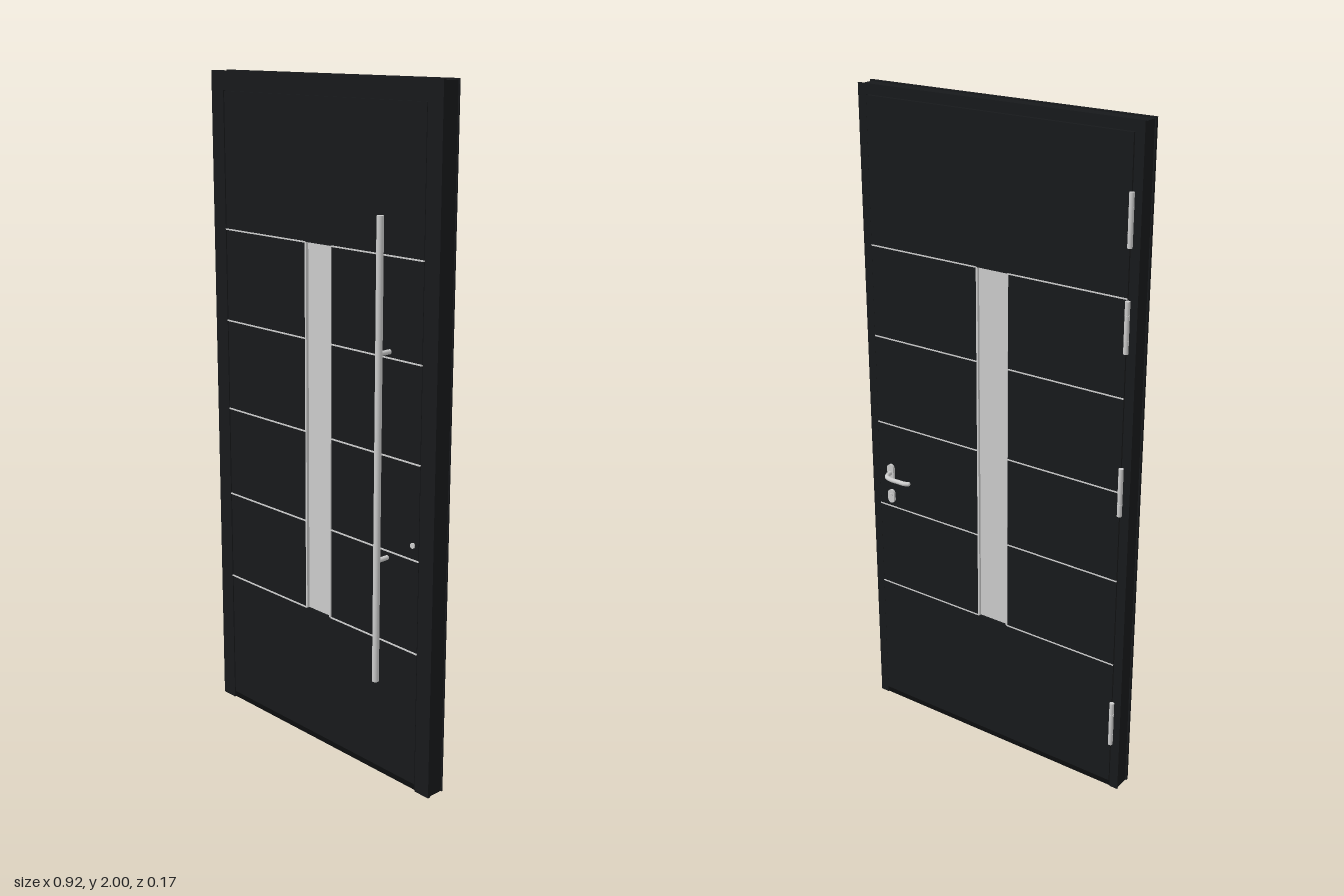
import * as THREE from 'three';

const dark = new THREE.MeshStandardMaterial({ color: 0x17191b });
const black = new THREE.MeshStandardMaterial({ color: 0x0c0d0e });
const grey = new THREE.MeshStandardMaterial({ color: 0xcccccc });

export function createModel() {
  const door = new THREE.Group();
  door.name = 'frontDoor';

  const add = (name, geometry, material, x = 0, y = 0, z = 0, parent = door) => {
    const mesh = new THREE.Mesh(geometry, material);
    mesh.name = name;
    mesh.position.set(x, y, z);
    parent.add(mesh);
    return mesh;
  };
  const box = (name, mat, x0, x1, y0, y1, z0, z1, parent) =>
    add(name, new THREE.BoxGeometry(x1 - x0, y1 - y0, z1 - z0), mat,
      (x0 + x1) / 2, (y0 + y1) / 2, (z0 + z1) / 2, parent);
  const rod = (name, r, length, x, y, z, alongZ, parent) => {
    const mesh = add(name, new THREE.CylinderGeometry(r, r, length, 24), grey, x, y, z, parent);
    if (alongZ) mesh.rotation.x = Math.PI / 2;
    return mesh;
  };
  const extrude = (shape, depth) =>
    new THREE.ExtrudeGeometry(shape, { depth, bevelEnabled: false, curveSegments: 16 });
  const outline = (pts) => pts.map(([x, y]) => new THREE.Vector2(x, y));

  // Frame: U-shaped layers, open at the bottom, with flanges front and back
  const frameLayer = (name, outer, top, inner, innerTop, z0, z1) => {
    const shape = new THREE.Shape(outline([
      [-outer, 0], [-inner, 0], [-inner, innerTop], [inner, innerTop],
      [inner, 0], [outer, 0], [outer, top], [-outer, top]]));
    add(name, extrude(shape, z1 - z0), dark, 0, 0, z0);
  };
  frameLayer('frameFrontFlange', 0.46, 2, 0.407, 1.945, 0.022, 0.03);
  frameLayer('frameCore', 0.456, 1.996, 0.432, 1.97, -0.028, 0.022);
  frameLayer('frameBackFlange', 0.46, 2, 0.432, 1.97, -0.031, -0.028);
  box('threshold', black, -0.432, 0.432, 0, 0.018, -0.028, 0.024);

  // Leaf: rebated slab in two layers, pierced by the window
  const winX = 0.053, winY0 = 0.43, winY1 = 1.54;
  const leafLayer = (name, half, top, z0, z1) => {
    const shape = new THREE.Shape(outline([[-half, 0.021], [half, 0.021], [half, top], [-half, top]]));
    shape.holes.push(new THREE.Path(outline([
      [-winX, winY0], [-winX, winY1], [winX, winY1], [winX, winY0]])));
    add(name, extrude(shape, z1 - z0), dark, 0, 0, z0);
  };
  leafLayer('leafFront', 0.404, 1.942, 0.021, 0.029);
  leafLayer('leafBack', 0.43, 1.968, -0.033, 0.021);

  // Window pane and its side trims
  box('windowPane', grey, -winX, winX, winY0, winY1, -0.027, 0.023);
  for (const s of [-1, 1]) {
    const x = s * 0.0515;
    box('windowTrim', grey, x - 0.003, x + 0.003, winY0, winY1, -0.0345, 0.032);
  }

  // Horizontal inlay strips on both faces, interrupted by the window
  for (let i = 0; i < 5; i++) {
    const y = winY0 + (i * (winY1 - winY0)) / 4;
    for (const s of [-1, 1]) {
      const strip = (name, end, z0, z1) => box(name, grey,
        Math.min(s * winX, s * end), Math.max(s * winX, s * end), y - 0.002, y + 0.002, z0, z1);
      strip('frontInlay', 0.405, 0.026, 0.032);
      strip('backInlay', 0.43, -0.0345, -0.03);
    }
  }

  // Long bar handle on the front
  const bar = new THREE.Group();
  bar.name = 'barHandle';
  door.add(bar);
  rod('bar', 0.01, 1.33, 0.284, 0.985, 0.071, false, bar);
  for (const y of [1.28, 0.687]) rod('barStandoff', 0.007, 0.044, 0.284, y, 0.049, true, bar);
  rod('frontLock', 0.008, 0.008, 0.383, 0.75, 0.03, true);

  // Lever handle on the back, with rose and lock plate
  const lever = new THREE.Group();
  lever.name = 'leverHandle';
  door.add(lever);
  const plate = (name, y, halfHeight, r) => {
    const shape = new THREE.Shape();
    shape.absarc(0, halfHeight - r, r, 0, Math.PI);
    shape.absarc(0, r - halfHeight, r, Math.PI, Math.PI * 2);
    shape.closePath();
    add(name, extrude(shape, 0.008), grey, 0.383, y, -0.041, lever);
  };
  plate('leverRose', 0.825, 0.028, 0.012);
  plate('lockPlate', 0.745, 0.022, 0.012);
  rod('lockCylinder', 0.006, 0.004, 0.383, 0.75, -0.042, true, lever);
  const path = new THREE.CatmullRomCurve3([
    [0.383, -0.036], [0.381, -0.054], [0.371, -0.07], [0.352, -0.077], [0.32, -0.077], [0.298, -0.076], [0.288, -0.071],
  ].map(([x, z]) => new THREE.Vector3(x, 0.825, z)));
  add('leverGrip', new THREE.TubeGeometry(path, 40, 0.007, 16), grey, 0, 0, 0, lever);
  add('leverTip', new THREE.SphereGeometry(0.007, 16, 12), grey, 0.288, 0.825, -0.071, lever);

  // Hinges on the back, each a pin barrel in three knuckles
  for (const y of [1.75, 1.465, 0.99, 0.232]) {
    const hinge = new THREE.Group();
    hinge.name = 'hinge';
    hinge.position.set(-0.435, y, -0.04);
    door.add(hinge);
    rod('hingePin', 0.006, 0.144, 0, 0, 0, false, hinge);
    for (const [k, h] of [[-0.054, 0.036], [0, 0.068], [0.054, 0.036]])
      rod('hingeKnuckle', 0.007, h, 0, k, 0, false, hinge);
    box('hingeLeaf', grey, -0.003, 0.003, -0.07, 0.07, 0, 0.01, hinge);
  }

  return door;
}
